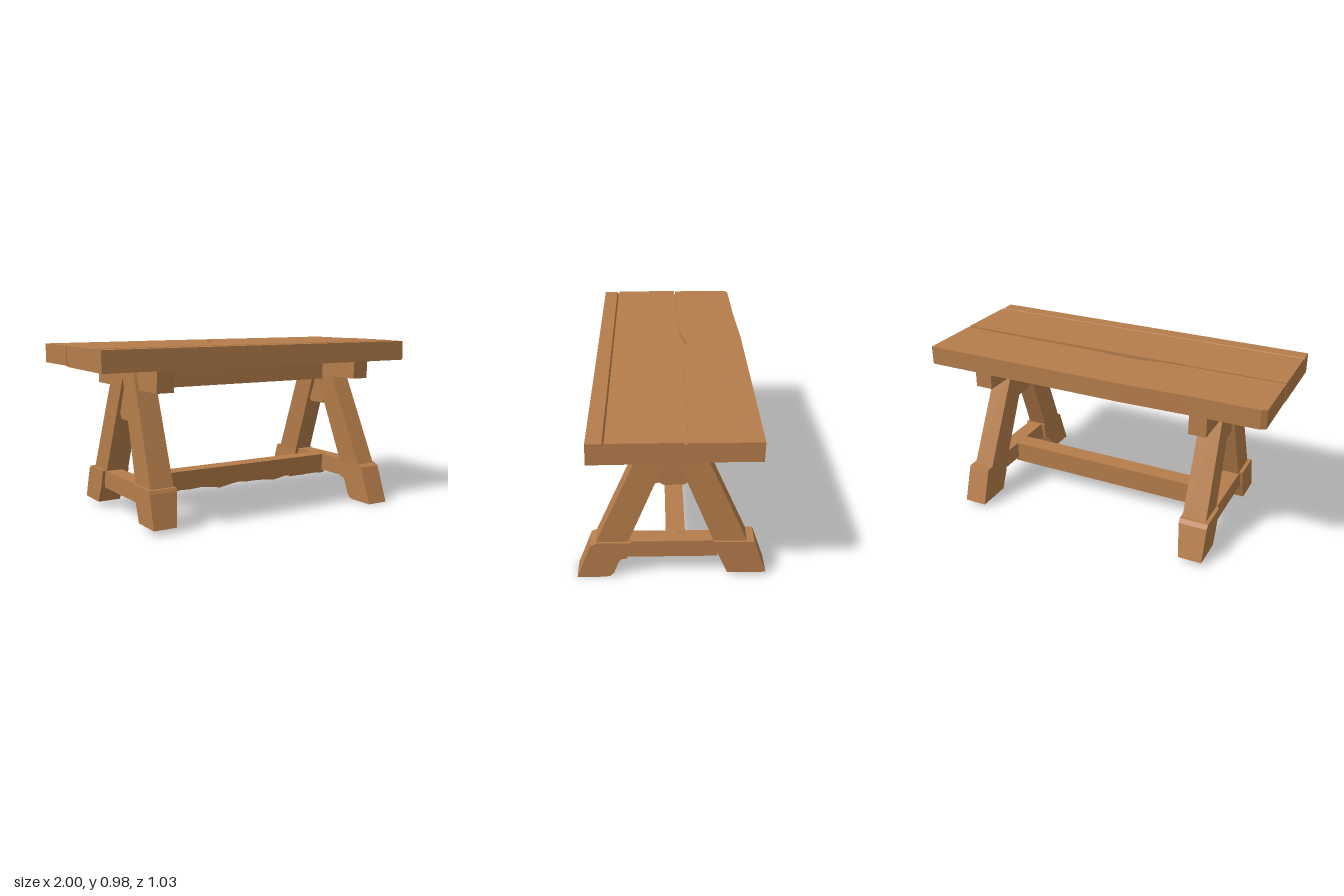
import * as THREE from 'three';

const wood = new THREE.MeshStandardMaterial({ color: 0xb57d4b });
wood.name = 'warmWood';

function add(parent, name, geometry) {
  const mesh = new THREE.Mesh(geometry, wood);
  mesh.name = name;
  parent.add(mesh);
  return mesh;
}

const toShape = (points) => new THREE.Shape(points.map(([a, b]) => new THREE.Vector2(a, b)));

// Side profile given as [z, y], extruded between two x positions
function sideProfile(points, x0, x1) {
  const g = new THREE.ExtrudeGeometry(toShape(points), { depth: x1 - x0, bevelEnabled: false });
  return g.rotateY(-Math.PI / 2).translate(x1, 0, 0);
}

// Plan outline given as [x, z], extruded between two heights
function planOutline(points, y0, y1) {
  const g = new THREE.ExtrudeGeometry(toShape(points.map(([x, z]) => [x, -z])), { depth: y1 - y0, bevelEnabled: false });
  return g.rotateX(-Math.PI / 2).translate(0, y0, 0);
}

// Six-sided timber between a bottom and a top rectangle, each [x0, x1, z0, z1, y]
function timber(bottom, top) {
  const g = new THREE.BoxGeometry(1, 1, 1);
  const p = g.attributes.position;
  for (let i = 0; i < p.count; i++) {
    const r = p.getY(i) > 0 ? top : bottom;
    p.setXYZ(i, p.getX(i) > 0 ? r[1] : r[0], r[4], p.getZ(i) > 0 ? r[3] : r[2]);
  }
  g.computeVertexNormals();
  return g;
}

const box = (x0, x1, y0, y1, z0, z1) => timber([x0, x1, z0, z1, y0], [x0, x1, z0, z1, y1]);

function buildTop() {
  const top = new THREE.Group();
  top.name = 'tableTop';
  // Front plank with a shallow groove along its length
  add(top, 'frontPlank', sideProfile([
    [-0.055, 0.862], [0.415, 0.857], [0.412, 0.973], [0.332, 0.973],
    [0.324, 0.958], [0.314, 0.975], [-0.055, 0.976],
  ], -1, 1));
  // Back plank with a worn hollow on its inner edge and a softened corner
  add(top, 'backPlank', planOutline([
    [-1, -0.063], [-0.6, -0.068], [-0.3, -0.072], [-0.2, -0.09], [-0.13, -0.11], [-0.05, -0.108],
    [0.01, -0.09], [0.15, -0.08], [0.7, -0.078], [1, -0.068], [1, -0.435], [-0.2, -0.435],
    [-0.6, -0.422], [-0.97, -0.418], [-1, -0.4],
  ], 0.867, 0.974));
  // Recessed strip closing the joint between the planks
  add(top, 'jointStrip', box(-0.985, 0.985, 0.87, 0.955, -0.13, -0.04));
  return top;
}

function buildFrame(name, f) {
  const frame = new THREE.Group();
  frame.name = name;
  const [t0, t1] = f.legTopX;
  const [b0, b1] = f.legBottomX;
  // Pair of leaning legs crossing at the top
  add(frame, 'frontLeg', timber([b0, b1, f.frontZ[0], f.frontZ[1], 0.2], [t0, t1, -0.027, 0.125, 0.866]));
  add(frame, 'backLeg', timber([b0, b1, f.backZ[0], f.backZ[1], 0.2], [t0, t1, -0.125, 0.027, 0.87]));
  // Wedge block between the legs
  const m = (t0 + t1 + b0 + b1) / 4;
  add(frame, 'wedgeBlock', sideProfile([
    [0.0, 0.83], [-0.11, 0.605], [-0.09, 0.59], [-0.065, f.wedgeY], [0.04, f.wedgeY], [0.065, f.wedgeY + 0.015], [0.11, 0.575],
  ], m - 0.042, m + 0.042));
  // Bearer under the top
  add(frame, 'crossBeam', timber(
    [f.beamX[0], f.beamX[1], -0.385, 0.38, f.beamY],
    [f.beamX[0], f.beamX[1], -0.385, 0.385, 0.868]));
  // Low stretcher joining the feet
  add(frame, 'stretcher', box(f.stretcherX[0], f.stretcherX[1], 0.126, 0.229, -0.25, 0.25));
  // Shaped feet, with the inner face drawn in towards the floor
  for (const [footName, profile] of [['frontFoot', f.frontFoot], ['backFoot', f.backFoot]]) {
    const g = sideProfile(profile, f.footX[0], f.footX[1]);
    const p = g.attributes.position;
    for (let i = 0; i < p.count; i++) {
      if (p.getX(i) > f.footX[1] - 0.001) p.setX(i, p.getX(i) - f.footTaper * (0.23 - p.getY(i)));
    }
    g.computeVertexNormals();
    add(frame, footName, g);
  }
  return frame;
}

// Lower rail with a rough, uneven underside
function lowerRail() {
  let g = new THREE.BoxGeometry(1.33, 0.13, 0.105, 20, 1, 1).translate(0.045, 0.165, -0.0225);
  const p = g.attributes.position;
  for (let i = 0; i < p.count; i++) {
    if (p.getY(i) > 0.165) continue;
    const x = p.getX(i);
    const front = p.getZ(i) > -0.02;
    const wave = 0.007 * Math.sin(x * 17) + 0.005 * Math.sin(x * 31 + 1);
    p.setY(i, 0.1 + (front ? 0.012 + wave : 0));
    p.setZ(i, p.getZ(i) + (front ? -0.012 : 0.004));
  }
  g = g.toNonIndexed();
  g.computeVertexNormals();
  return g;
}

export function createModel() {
  const table = new THREE.Group();
  table.name = 'woodenTable';
  table.add(buildTop());

  table.add(buildFrame('leftFrame', {
    legTopX: [0.635, 0.75], legBottomX: [0.668, 0.788],
    frontZ: [0.245, 0.418], backZ: [-0.418, -0.238],
    wedgeY: 0.572, beamX: [0.637, 0.74], beamY: 0.753, stretcherX: [0.69, 0.785],
    footX: [0.667, 0.8], footTaper: 0,
    frontFoot: [[0.22, 0.23], [0.24, 0.126], [0.27, 0.121], [0.287, 0.1], [0.315, 0.025], [0.335, 0.006], [0.365, 0],
      [0.515, 0], [0.435, 0.213], [0.4, 0.23]],
    backFoot: [[-0.225, 0.23], [-0.444, 0.23], [-0.452, 0.21], [-0.515, 0.021], [-0.305, 0.021], [-0.26, 0.126]],
  }));

  table.add(buildFrame('rightFrame', {
    legTopX: [-0.7, -0.578], legBottomX: [-0.717, -0.58],
    frontZ: [0.18, 0.365], backZ: [-0.41, -0.235],
    wedgeY: 0.555, beamX: [-0.685, -0.586], beamY: 0.738, stretcherX: [-0.72, -0.62],
    footX: [-0.737, -0.572], footTaper: 0.14,
    frontFoot: [[0.19, 0.23], [0.215, 0.126], [0.25, 0.028], [0.43, 0.028], [0.385, 0.21], [0.375, 0.23]],
    backFoot: [[-0.23, 0.23], [-0.42, 0.23], [-0.44, 0.21], [-0.5, 0.028], [-0.31, 0.028], [-0.265, 0.126]],
  }));

  // Long rails tying the two frames together
  add(table, 'upperRail', box(-0.62, 0.68, 0.732, 0.868, -0.08, 0.08));
  add(table, 'lowerRail', lowerRail());
  return table;
}
